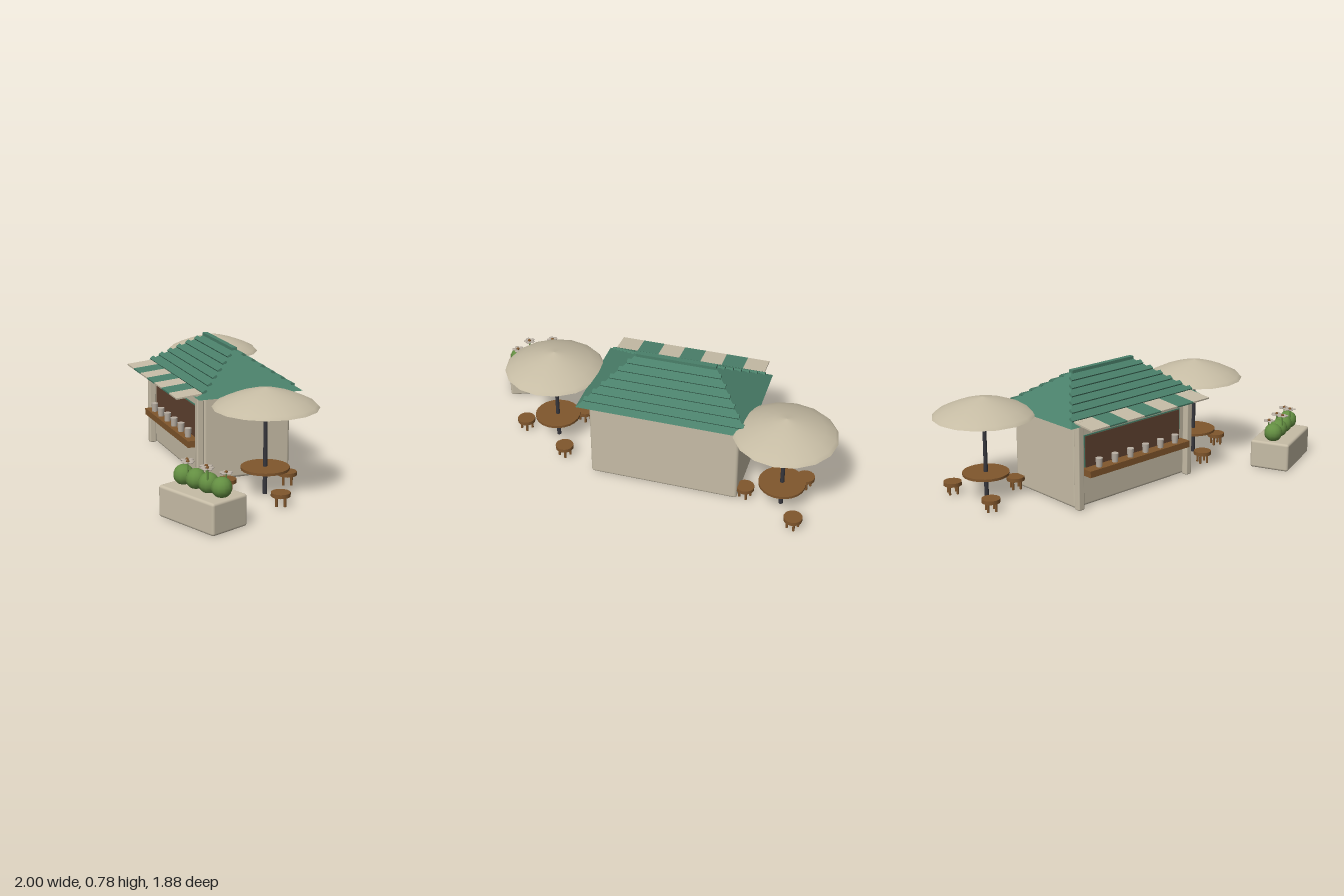
import * as THREE from 'three';
import { RoundedBoxGeometry } from 'three/addons/geometries/RoundedBoxGeometry.js';
import { ConvexGeometry } from 'three/addons/geometries/ConvexGeometry.js';

const mat = (name, color, side = THREE.FrontSide) => {
  const m = new THREE.MeshStandardMaterial({ color, side });
  m.name = name;
  return m;
};

export function createModel() {
  const cream = mat('cream', 0xc6bca6);
  const canvas = mat('canvas', 0xc6bca4, THREE.DoubleSide);
  const green = mat('roof green', 0x4a806a);
  const wood = mat('wood', 0x80562c);
  const darkWood = mat('dark wood', 0x604230);
  const metal = mat('dark metal', 0x36363c);
  const leaf = mat('leaf', 0x648f42);
  const pale = mat('pale grey', 0xb9afa3);

  const root = new THREE.Group();
  root.name = 'kiosk';

  const add = (parent, name, geo, material, x = 0, y = 0, z = 0) => {
    const m = new THREE.Mesh(geo, material);
    m.name = name;
    m.position.set(x, y, z);
    parent.add(m);
    return m;
  };
  const group = (parent, name, x, y, z) => {
    const g = new THREE.Group();
    g.name = name;
    g.position.set(x, y, z);
    parent.add(g);
    return g;
  };
  const box = (w, h, d) => new THREE.BoxGeometry(w, h, d);
  const cyl = (rt, rb, h, n) => new THREE.CylinderGeometry(rt, rb, h, n);

  // Hut, turned towards the corner
  const hut = group(root, 'hut', -0.07, 0, -0.116);
  hut.rotation.y = -0.385;
  add(hut, 'walls', new RoundedBoxGeometry(0.96, 0.535, 0.575, 2, 0.018), cream, 0, 0.2685, 0);
  for (const s of [-1, 1])
    add(hut, 'frontPost', new RoundedBoxGeometry(0.045, 0.568, 0.045, 2, 0.008), cream, s * 0.463, 0.284, 0.31);

  // Serving window and counter
  add(hut, 'windowFrame', box(0.814, 0.225, 0.008), green, 0, 0.346, 0.289);
  add(hut, 'servingWindow', box(0.8, 0.214, 0.008), darkWood, 0, 0.344, 0.293);
  add(hut, 'counter', box(0.85, 0.042, 0.088), wood, 0, 0.231, 0.327);
  for (let i = 0; i < 6; i++)
    add(hut, 'cup', cyl(0.023, 0.019, 0.056, 12), pale, (i - 2.5) * 0.13, 0.28, 0.335);

  // Hipped roof with slats on both long slopes
  const eave = 0.538, top = 0.765, halfW = 0.547, halfD = 0.342, ridge = 0.256;
  const pts = [];
  for (const sx of [-1, 1]) {
    pts.push(new THREE.Vector3(sx * ridge, top, 0));
    for (const sz of [-1, 1]) pts.push(new THREE.Vector3(sx * halfW, eave, sz * halfD));
  }
  add(hut, 'roof', new ConvexGeometry(pts), green);
  const pitch = Math.atan2(top - eave, halfD);
  for (const s of [-1, 1])
    for (let i = 0; i < 6; i++) {
      const t = 0.14 + i * 0.142;
      const len = 2 * (ridge + (halfW - ridge) * t) + 0.008;
      const slat = add(hut, 'roofSlat', box(len, 0.016, 0.03), green, 0, top - (top - eave) * t + 0.004, s * halfD * t);
      slat.rotation.x = s * pitch;
    }
  add(hut, 'ridgeCap', box(0.517, 0.02, 0.034), green, 0, 0.769, 0);

  // Striped awning
  const awning = group(hut, 'awning', 0, 0.555, 0.373);
  awning.rotation.x = 0.09;
  const stripe = 0.99 / 7;
  for (let i = 0; i < 7; i++)
    add(awning, 'awningStripe', box(stripe, 0.01, 0.19), i % 2 ? green : cream, (i - 3) * stripe, 0, 0);

  // Umbrella tables with stools
  const canopy = [[0.32, 0.537], [0.302, 0.556], [0.24, 0.587], [0.16, 0.618], [0.08, 0.641], [0.001, 0.657]]
    .map(([r, y]) => new THREE.Vector2(r, y));
  for (const [x, z] of [[-0.678, -0.622], [0.678, 0.214]]) {
    const set = group(root, 'umbrellaTable', x, 0, z);
    add(set, 'umbrellaCanopy', new THREE.LatheGeometry(canopy, 16), canvas);
    add(set, 'umbrellaPole', cyl(0.011, 0.014, 0.645, 10), metal, 0, 0.3225, 0);
    add(set, 'tableTop', cyl(0.147, 0.147, 0.016, 24), wood, 0, 0.163, 0);
    for (const deg of [22, 142, 262]) {
      const a = deg * Math.PI / 180;
      const stool = group(set, 'stool', Math.cos(a) * 0.23, 0, Math.sin(a) * 0.23);
      add(stool, 'stoolSeat', cyl(0.058, 0.058, 0.024, 16), wood, 0, 0.07, 0);
      for (let k = 0; k < 4; k++) {
        const b = k * Math.PI / 2;
        add(stool, 'stoolLeg', cyl(0.008, 0.008, 0.06, 8), wood, Math.cos(b) * 0.035, 0.03, Math.sin(b) * 0.035);
      }
    }
  }

  // Planter with bushes and flowers
  const planter = group(root, 'planter', 0.772, 0, 0.808);
  add(planter, 'planterBox', new RoundedBoxGeometry(0.455, 0.188, 0.262, 2, 0.016), cream, 0, 0.094, 0);
  for (let i = 0; i < 4; i++)
    add(planter, 'bush', new THREE.SphereGeometry(0.06, 12, 9), leaf, (i - 1.5) * 0.104, 0.238, 0);
  for (let i = 0; i < 5; i++) {
    const high = i % 2;
    const flower = group(planter, 'flower', (i - 2) * 0.08, high ? 0.337 : 0.317, high ? 0.036 : -0.03);
    add(flower, 'flowerStem', cyl(0.005, 0.005, 0.1, 6), leaf, 0, -0.05, 0);
    add(flower, 'flowerCentre', new THREE.SphereGeometry(0.01, 8, 6), wood, 0, 0.003, 0);
    for (let k = 0; k < 5; k++) {
      const a = k * Math.PI * 2 / 5;
      const petal = add(flower, 'petal', new THREE.SphereGeometry(0.016, 8, 6), pale, Math.cos(a) * 0.024, 0, Math.sin(a) * 0.024);
      petal.scale.y = 0.3;
    }
  }
  return root;
}
